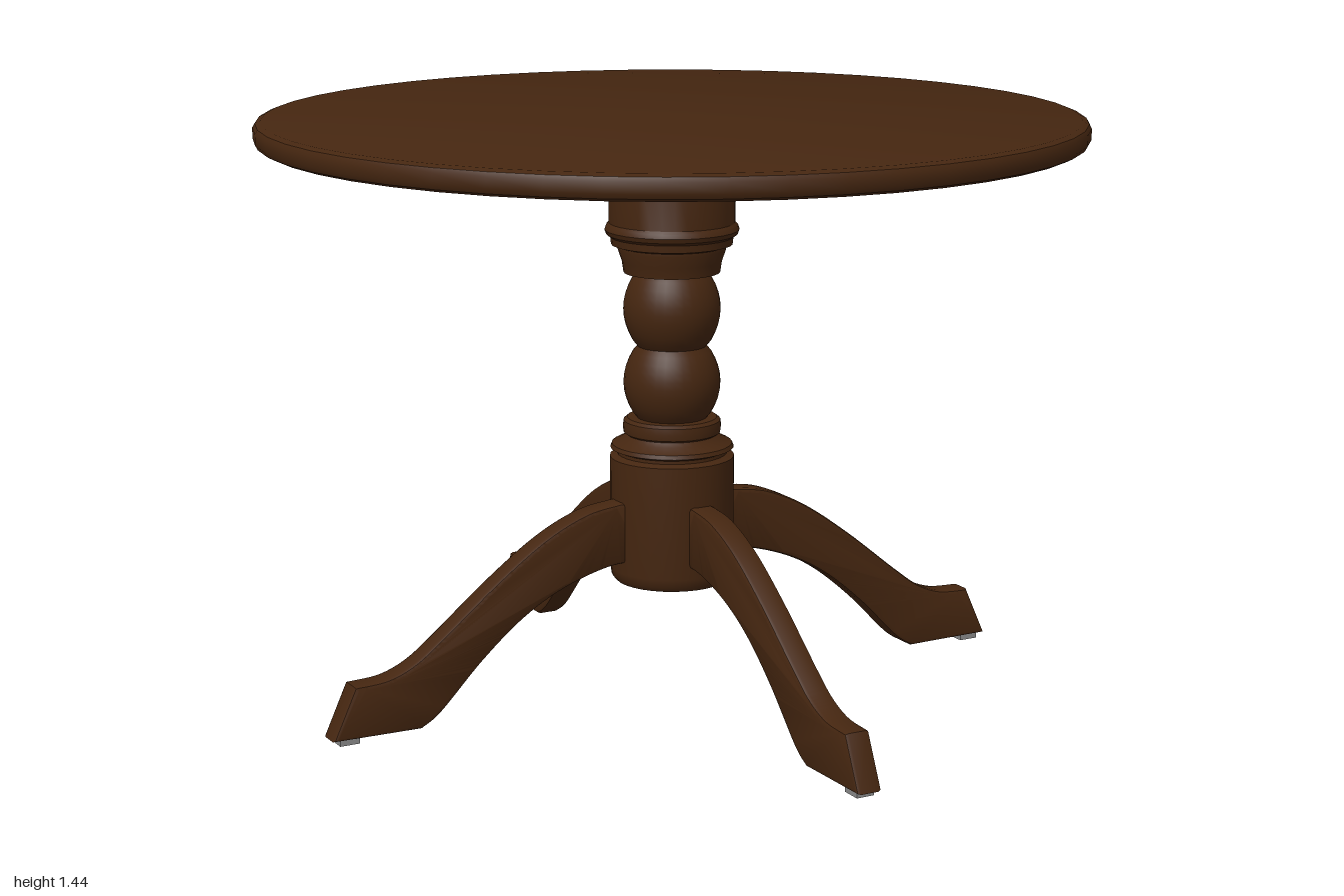
import * as THREE from 'three';
import { toCreasedNormals } from 'three/addons/utils/BufferGeometryUtils.js';

const wood = new THREE.MeshStandardMaterial({ color: 0x452610 });
wood.name = 'dark wood';
const metal = new THREE.MeshStandardMaterial({ color: 0x8a8a8a });
metal.name = 'grey metal';

const LEG_TURN = -0.925; // heading of the first leg, seen from above

function add(parent, name, geometry, material) {
  const mesh = new THREE.Mesh(geometry, material);
  mesh.name = name;
  parent.add(mesh);
  return mesh;
}

// Turned part from [radius, height] pairs listed bottom to top
function turned(profile, segments) {
  const points = profile.map(([r, y]) => new THREE.Vector2(r, y));
  return toCreasedNormals(new THREE.LatheGeometry(points, segments), 0.6);
}

// Bulging bead between two heights
function bead(y0, y1, neck, radius) {
  const out = [];
  for (let i = 0; i <= 10; i++) {
    const t = i / 10;
    out.push([neck + (radius - neck) * Math.sin(Math.PI * t) ** 0.75, y0 + (y1 - y0) * t]);
  }
  return out;
}

// Side outline of a curved leg, extruded across its width with eased edges
function legGeometry() {
  const v = (list) => list.map(([x, y]) => new THREE.Vector2(x, y));
  const bevel = 0.01, width = 0.066;
  const s = new THREE.Shape();
  s.moveTo(0.1, 0.36);
  s.lineTo(0.1, 0.49);
  s.lineTo(0.16, 0.49);
  s.splineThru(v([[0.25, 0.475], [0.36, 0.425], [0.49, 0.335], [0.64, 0.215], [0.71, 0.165], [0.78, 0.138], [0.86, 0.132]]));
  s.lineTo(0.912, 0.022);
  s.lineTo(0.7, 0.022);
  s.splineThru(v([[0.65, 0.055], [0.54, 0.165], [0.43, 0.255], [0.32, 0.315], [0.2, 0.352], [0.1, 0.36]]));
  const g = new THREE.ExtrudeGeometry(s, {
    depth: width - 2 * bevel, bevelEnabled: true, bevelSize: bevel,
    bevelThickness: bevel, bevelSegments: 2, curveSegments: 24,
  });
  g.translate(0, 0, -width / 2 + bevel);
  return toCreasedNormals(g, 0.6);
}

export function createModel() {
  const table = new THREE.Group();
  table.name = 'pedestalTable';

  // Round top with eased rim
  add(table, 'tableTop', turned([
    [0, 1.38], [0.98, 1.38], [0.994, 1.387], [1, 1.398], [1, 1.424],
    [0.994, 1.434], [0.98, 1.44], [0, 1.44],
  ], 48), wood);

  // Mounting disc under the top
  add(table, 'mountingDisc', turned([
    [0, 1.35], [0.31, 1.35], [0.31, 1.381], [0, 1.381],
  ], 40), wood);

  // Lower drum that carries the legs
  add(table, 'lowerDrum', turned([
    [0, 0.288], [0.14, 0.288], [0.15, 0.3], [0.153, 0.32], [0.153, 0.6],
    [0.135, 0.607], [0.135, 0.615], [0.152, 0.622], [0.148, 0.632],
    [0.122, 0.645], [0.112, 0.655], [0.119, 0.66], [0.121, 0.675],
    [0.119, 0.69], [0.11, 0.697], [0, 0.697],
  ], 32), wood);

  // Two beads in the middle of the column
  add(table, 'lowerBead', turned(bead(0.69, 0.88, 0.08, 0.119), 32), wood);
  add(table, 'upperBead', turned(bead(0.87, 1.065, 0.08, 0.119), 32), wood);

  // Upper drum with cup and rings
  add(table, 'upperDrum', turned([
    [0, 1.058], [0.118, 1.058], [0.122, 1.085], [0.132, 1.115], [0.132, 1.122],
    [0.148, 1.127], [0.15, 1.145], [0.16, 1.152], [0.164, 1.163],
    [0.16, 1.174], [0.154, 1.18], [0.154, 1.335], [0.15, 1.352],
  ], 32), wood);

  // Four legs with glides, and a trio of screws above each
  const legShape = legGeometry();
  for (let i = 0; i < 4; i++) {
    const quarter = new THREE.Group();
    quarter.name = 'legAssembly' + (i + 1);
    quarter.rotation.y = LEG_TURN + i * Math.PI / 2;
    add(quarter, 'leg', legShape, wood);
    add(quarter, 'footGlide', new THREE.BoxGeometry(0.05, 0.014, 0.045), metal).position.set(0.88, 0.007, 0);
    for (let k = 0; k < 3; k++) {
      const a = k * Math.PI * 2 / 3;
      add(quarter, 'screwHead', new THREE.CylinderGeometry(0.012, 0.008, 0.018, 10), metal)
        .position.set(0.228 + 0.021 * Math.cos(a), 1.343, 0.021 * Math.sin(a));
    }
    table.add(quarter);
  }
  return table;
}
